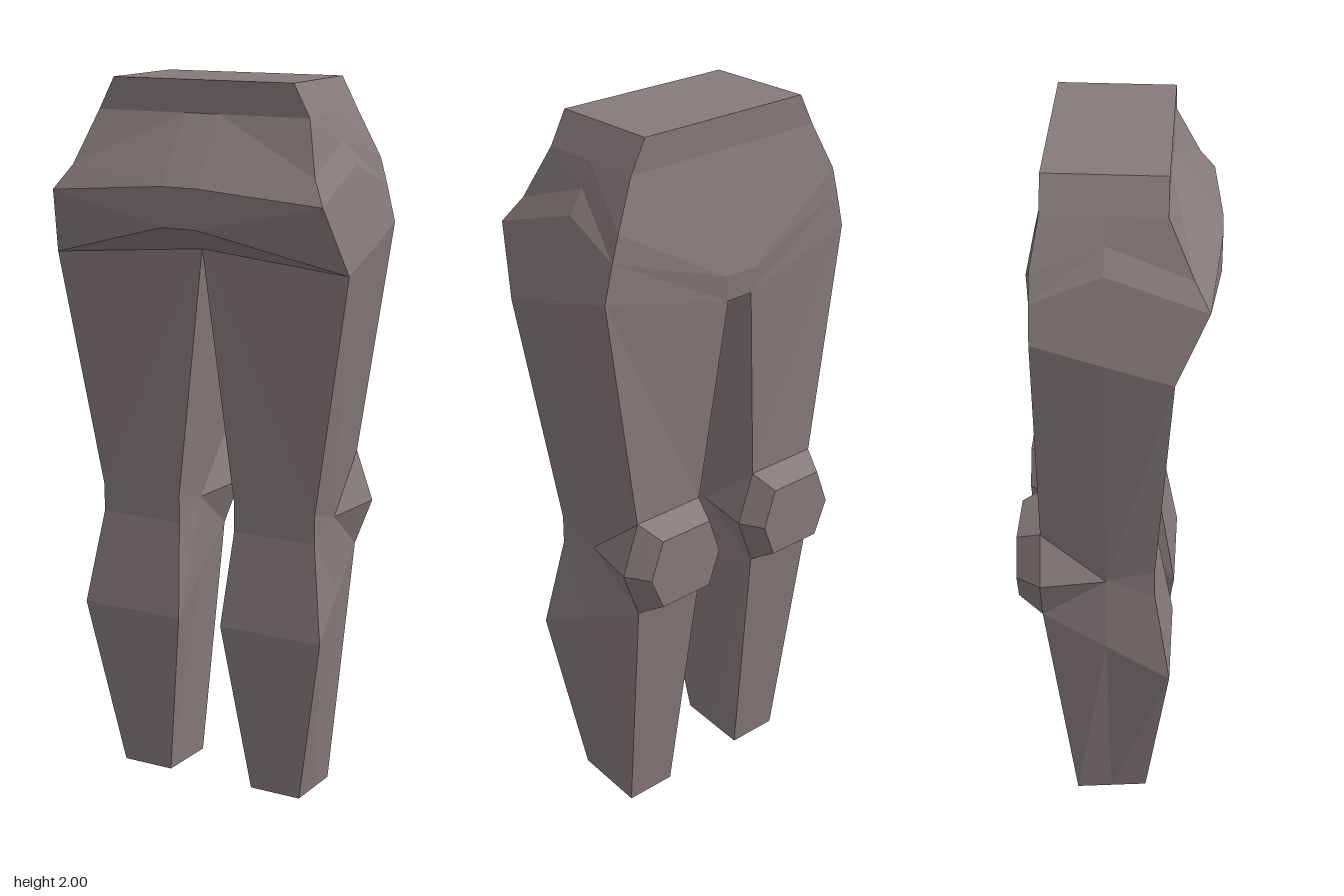
import * as THREE from 'three';
import { ConvexGeometry } from 'three/addons/geometries/ConvexGeometry.js';

const V = (x, y, z) => new THREE.Vector3(x, y, z);
const material = new THREE.MeshStandardMaterial({ color: 0x867a7a, flatShading: true, side: THREE.DoubleSide });

// Collects triangles, skipping collapsed ones; mirrored ones swap their winding
function surface() {
  const pos = [];
  return {
    tri(a, b, c, mirror = false) {
      if (b.clone().sub(a).cross(c.clone().sub(a)).length() < 1e-7) return;
      const s = mirror ? -1 : 1;
      for (const p of mirror ? [a, c, b] : [a, b, c]) pos.push(p.x * s, p.y, p.z);
    },
    mesh(name) {
      const g = new THREE.BufferGeometry();
      g.setAttribute('position', new THREE.Float32BufferAttribute(pos, 3));
      g.computeVertexNormals();
      const m = new THREE.Mesh(g, material);
      m.name = name;
      return m;
    },
  };
}

// Hip edge shared by pelvis and legs
const hip = {
  frontInner: V(0, 1.565, 0.13), frontOuter: V(0.43, 1.53, 0.155), side: V(0.422, 1.575, -0.02),
  backOuter: V(0.41, 1.62, -0.197), backInner: V(0.04, 1.54, -0.235),
};

// Half rings from front centre round the side to back centre, top to bottom
function pelvis() {
  const rows = [
    [V(0.05, 2, 0.13), V(0.26, 2, 0.13), V(0.26, 2, -0.02), V(0.26, 2, -0.175), V(0.05, 2, -0.175)],
    [V(0.05, 1.915, 0.13), V(0.305, 1.915, 0.13), V(0.305, 1.915, -0.02), V(0.305, 1.915, -0.175), V(0.05, 1.915, -0.175)],
    [V(0.05, 1.74, 0.26), V(0.35, 1.775, 0.195), V(0.33, 1.85, -0.02), V(0.365, 1.79, -0.197), V(0.05, 1.71, -0.22)],
    [V(0.05, 1.635, 0.26), V(0.39, 1.71, 0.235), V(0.37, 1.79, -0.02), V(0.385, 1.72, -0.197), V(0.05, 1.61, -0.24)],
    [hip.frontInner, hip.frontOuter, hip.side, hip.backOuter, hip.backInner],
  ].map(r => [V(0, r[0].y, r[0].z), ...r, V(0, r[4].y, r[4].z)]);
  const s = surface();
  for (const m of [false, true]) {
    for (let j = 0; j < rows.length - 1; j++) {
      for (let i = 0; i < 6; i++) {
        const a = rows[j][i], b = rows[j][i + 1], c = rows[j + 1][i + 1], d = rows[j + 1][i];
        s.tri(a, d, c, m);
        s.tri(a, c, b, m);
      }
    }
    // Waist cap
    for (let i = 1; i < 6; i++) s.tri(rows[0][0], rows[0][i], rows[0][i + 1], m);
  }
  return s.mesh('pelvis');
}

// Points at the sides of the knee
const pinchOut = V(0.325, 0.83, -0.02), pinchIn = V(0.085, 0.83, -0.02);

// Ring order: front inner, front outer, outer side, back outer, back inner, inner side
function leg(mirror, name) {
  const back = y => [V(0.315, y, -0.195), V(0.1, y, -0.195)];
  const ring = (x0, x1, y, z, out, b, inn) => [V(x0, y, z), V(x1, y, z), out, ...b, inn];
  const rings = [
    [hip.frontInner, hip.frontOuter, hip.side, hip.backOuter, hip.backInner, V(0.015, 1.555, -0.05)],
    ring(0.085, 0.325, 0.87, 0.11, pinchOut, back(0.97), pinchIn),
    ring(0.085, 0.325, 0.79, 0.11, pinchOut, back(0.7), pinchIn),
    ring(0.065, 0.365, 0.525, 0.155, V(0.34, 0.612, -0.02), back(0.7), V(0.083, 0.612, -0.02)),
    ring(0.13, 0.28, 0.022, 0.09, V(0.28, 0.011, -0.01), [V(0.28, 0, -0.11), V(0.13, 0, -0.11)], V(0.13, 0.011, -0.01)),
  ];
  const s = surface();
  for (let j = 0; j < rings.length - 1; j++) {
    for (let i = 0; i < 6; i++) {
      const k = (i + 1) % 6;
      const a = rings[j][i], b = rings[j][k], c = rings[j + 1][k], d = rings[j + 1][i];
      s.tri(a, d, c, mirror);
      s.tri(a, c, b, mirror);
    }
  }
  // Ankle cap
  const end = rings[4];
  for (let i = 1; i < 5; i++) s.tri(end[0], end[i + 1], end[i], mirror);
  return s.mesh(name);
}

// Faceted hexagonal knee pad tapering to a flat face
function kneePad(mirror, name) {
  const hex = (w0, w1, t0, t1, top, low, z) => [
    V(w0, 0.835, z), V(t0, top, z), V(t1, top, z), V(w1, 0.835, z), V(t1, low, z), V(t0, low, z)];
  const points = [
    ...hex(0.05, 0.365, 0.1, 0.315, 0.975, 0.7, -0.195),
    ...hex(0.085, 0.325, 0.122, 0.285, 0.94, 0.74, -0.262),
    pinchIn, pinchOut,
  ].map(p => V(mirror ? -p.x : p.x, p.y, p.z));
  const m = new THREE.Mesh(new ConvexGeometry(points), material);
  m.name = name;
  return m;
}

export function createModel() {
  const group = new THREE.Group();
  group.name = 'lowerBody';
  group.add(
    pelvis(),
    leg(false, 'leftLeg'), leg(true, 'rightLeg'),
    kneePad(false, 'leftKneePad'), kneePad(true, 'rightKneePad'),
  );
  return group;
}
